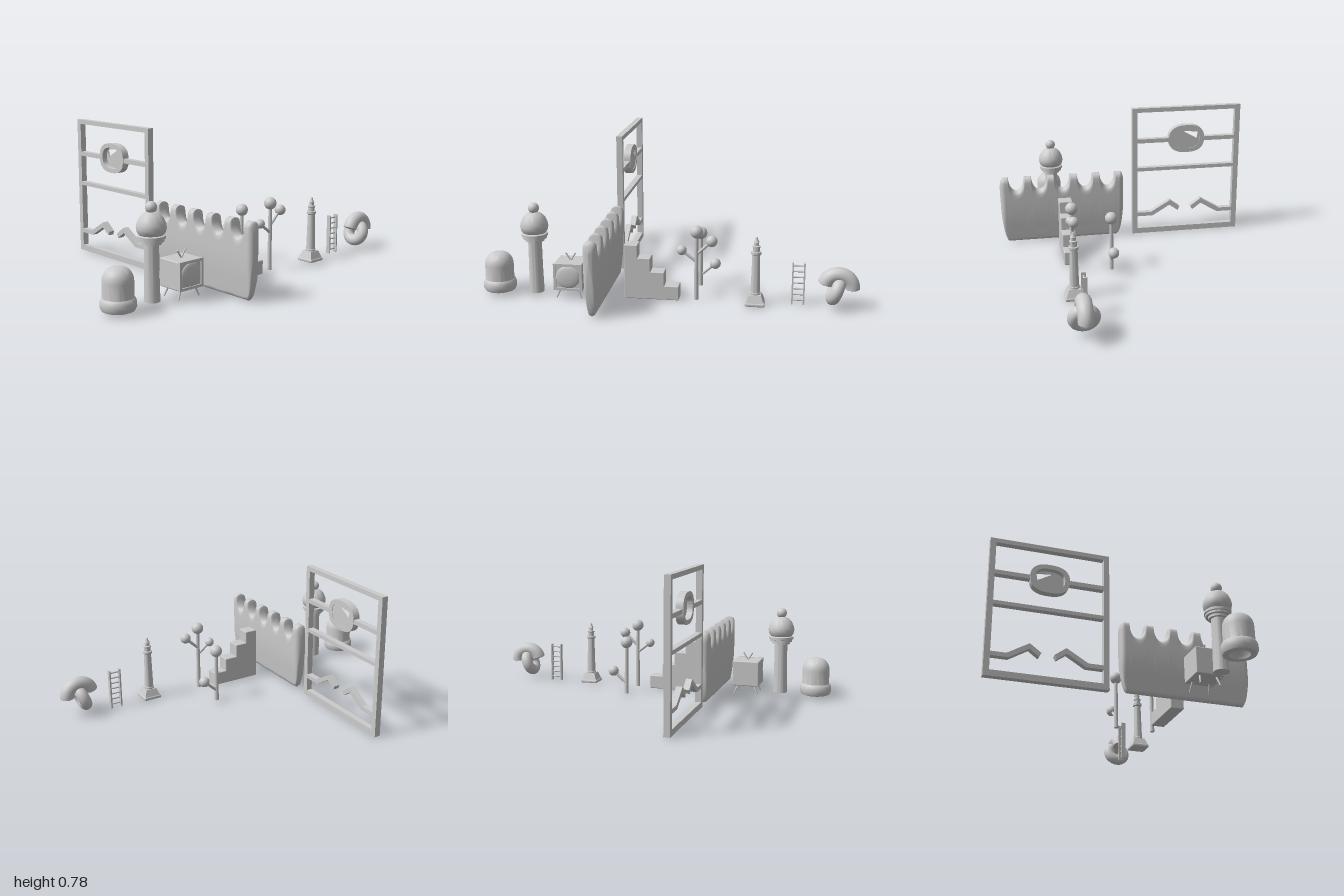
import * as THREE from 'three';
import { toCreasedNormals } from 'three/addons/utils/BufferGeometryUtils.js';
import { RoundedBoxGeometry } from 'three/addons/geometries/RoundedBoxGeometry.js';

const grey = new THREE.MeshStandardMaterial({ color: 0xcccccc, side: THREE.DoubleSide });
const V = (x, y, z) => new THREE.Vector3(x, y, z);

function add(parent, name, geo, x = 0, y = 0, z = 0) {
  const m = new THREE.Mesh(geo, grey);
  m.name = name;
  m.position.set(x, y, z);
  parent.add(m);
  return m;
}
function group(parent, name, x = 0, y = 0, z = 0) {
  const g = new THREE.Group();
  g.name = name;
  g.position.set(x, y, z);
  parent.add(g);
  return g;
}
const box = (p, name, x0, x1, y0, y1, d, z = 0) =>
  add(p, name, new THREE.BoxGeometry(x1 - x0, y1 - y0, d), (x0 + x1) / 2, (y0 + y1) / 2, z);
const ball = (p, name, r, x, y, z) => add(p, name, new THREE.SphereGeometry(r, 24, 16), x, y, z);
const lathe = (p, name, pts) => add(p, name,
  toCreasedNormals(new THREE.LatheGeometry(pts.map(a => new THREE.Vector2(...a)), 40), 0.6));

// straight round rod between two points
function rod(p, name, a, b, r0, r1 = r0) {
  const d = b.clone().sub(a);
  const m = add(p, name, new THREE.CylinderGeometry(r1, r0, d.length(), 12));
  m.position.copy(a).lerp(b, 0.5);
  m.quaternion.setFromUnitVectors(V(0, 1, 0), d.normalize());
  return m;
}
function plate(p, name, shape, depth, z = 0) {
  const geo = new THREE.ExtrudeGeometry(shape, { depth, bevelEnabled: false });
  return add(p, name, toCreasedNormals(geo, 0.5), 0, 0, z - depth / 2);
}
const shapeOf = pts => new THREE.Shape(pts.map(a => new THREE.Vector2(...a)));

// rounded oval outline
function oval(cx, cy, a, b) {
  const pts = [];
  for (let i = 0; i < 48; i++) {
    const t = i / 48 * Math.PI * 2, c = Math.cos(t), s = Math.sin(t);
    pts.push([cx + a * Math.sign(c) * Math.abs(c) ** 0.8, cy + b * Math.sign(s) * Math.abs(s) ** 0.8]);
  }
  return pts;
}

function openFrame(root) {
  const g = group(root, 'openFrame', 0, 0, 0.336), d = 0.034;
  box(g, 'leftPost', -0.1, -0.07, 0.003, 0.784, d);
  box(g, 'rightPost', -0.719, -0.688, 0.003, 0.784, d);
  box(g, 'topRail', -0.688, -0.1, 0.759, 0.784, d);
  box(g, 'bottomRail', -0.688, -0.1, 0.003, 0.036, d);
  box(g, 'middleRail', -0.688, -0.1, 0.399, 0.42, d);
  box(g, 'upperRailRight', -0.688, -0.49, 0.573, 0.597, d);
  box(g, 'upperRailLeft', -0.3, -0.1, 0.573, 0.597, d);
  const ring = shapeOf(oval(-0.395, 0.589, 0.107, 0.083));
  ring.holes.push(shapeOf(oval(-0.395, 0.589, 0.081, 0.059)));
  plate(g, 'ovalRing', ring, 0.04);
  // skewed opening at the back of the ring
  const inner = shapeOf(oval(-0.395, 0.589, 0.082, 0.06));
  inner.holes.push(shapeOf([[-0.463, 0.628], [-0.321, 0.643], [-0.31, 0.563], [-0.448, 0.532]]));
  plate(g, 'ringInset', inner, 0.006, -0.014);
  // mirrored bent bars
  const bent = [[-0.69, 0.136], [-0.606, 0.136], [-0.49, 0.205], [-0.429, 0.16],
    [-0.44, 0.137], [-0.492, 0.175], [-0.595, 0.113], [-0.69, 0.113]];
  plate(g, 'bentBarRight', shapeOf(bent), d);
  plate(g, 'bentBarLeft', shapeOf(bent.map(([x, y]) => [-0.789 - x, y])), d);
}

// soft wall with scalloped battlements, lofted from upright loops along x
function castleWall(root) {
  const x0 = -0.016, x1 = 0.716, N = 240, pos = [], idx = [];
  const rows = [0, 0.02, 0.06, 0.15, 0.3, 0.5, 0.7, 0.85, 0.92, 0.96, 0.985, 1];
  const round = t => Math.sqrt(1 - (1 - Math.min(1, Math.max(0, t))) ** 2);
  const K = rows.length * 2 - 2;
  for (let i = 0; i <= N; i++) {
    const x = x0 + (x1 - x0) * i / N, e = Math.min(x - x0, x1 - x);
    const lo = 0.004 + 0.3 * (1 - round(e / 0.045));
    let hi = 0.404 - 0.05 * (1 - Math.min(1, e / 0.025)) ** 3;
    for (let k = 0; k < 5; k++) {
      const t = Math.abs(x - 0.082 - 0.1345 * k) / 0.046;
      if (t < 1) hi -= 0.083 * Math.sqrt(1 - t * t);
    }
    for (let j = 0; j < K; j++) {
      const front = j < rows.length, s = rows[front ? j : K - j], y = lo + (hi - lo) * s;
      const w = 0.034 * (0.5 + 0.5 * THREE.MathUtils.smoothstep(y, 0, 0.2))
        * round((hi - y) / 0.03) * round((y - lo) / 0.015) * round(e / 0.03);
      pos.push(x, y, front ? w : -w);
      if (i < N) {
        const a = i * K + j, d = i * K + (j + 1) % K;
        idx.push(a, a + K, d + K, a, d + K, d);
      }
    }
  }
  const geo = new THREE.BufferGeometry();
  geo.setAttribute('position', new THREE.Float32BufferAttribute(pos, 3));
  geo.setIndex(idx);
  geo.computeVertexNormals();
  add(root, 'castleWall', geo, 0, 0, 0.337);
}

function bell(root) {
  const g = group(root, 'domedBell', 0.382, 0, 0.912);
  const pts = [[0, 0.06], [0.025, 0.055], [0.045, 0.035], [0.05, 0.018], [0.065, 0.013], [0.08, 0.019],
    [0.088, 0.035], [0.088, 0.058], [0.083, 0.073], [0.076, 0.08], [0.076, 0.158]];
  for (let i = 1; i <= 8; i++) {
    const t = i / 8 * Math.PI / 2;
    pts.push([0.076 * Math.cos(t) ** 0.8, 0.158 + 0.07 * Math.sin(t)]);
  }
  lathe(g, 'bellBody', pts);
}

function tower(root) {
  const g = group(root, 'domedTower', 0.382, 0, 0.708);
  lathe(g, 'shaft', [[0, 0.015], [0.04, 0.015], [0.037, 0.15], [0.036, 0.3], [0.05, 0.3], [0.05, 0.313],
    [0.063, 0.314], [0.063, 0.326], [0.069, 0.328], [0.069, 0.342], [0.06, 0.346]]);
  lathe(g, 'dome', [[0.058, 0.345], [0.069, 0.358], [0.074, 0.38], [0.071, 0.4], [0.06, 0.425],
    [0.044, 0.444], [0.022, 0.456], [0, 0.46]]);
  ball(g, 'finial', 0.029, 0, 0.478, 0);
}

function television(root) {
  const g = group(root, 'television', 0.379, 0, 0.517);
  add(g, 'cabinet', new RoundedBoxGeometry(0.146, 0.146, 0.154, 2, 0.006), -0.003, 0.124, 0);
  for (const s of [-1, 1]) {
    // raised screen surround
    box(g, 'surroundSide', 0.066, 0.077, 0.051, 0.198, 0.014, s * 0.07);
    box(g, 'surroundEdge', 0.066, 0.077, s > 0 ? 0.184 : 0.051, s > 0 ? 0.198 : 0.065, 0.154);
    rod(g, 'antenna', V(0, 0.195, 0), V(0, 0.236, s * 0.026), 0.004);
    for (const x of [-0.045, 0.045]) rod(g, 'leg', V(x, 0.055, s * 0.045), V(x * 1.2, 0.002, s * 0.068), 0.006, 0.004);
  }
  add(g, 'screen', new THREE.SphereGeometry(1, 24, 16), 0.068, 0.124, 0).scale.set(0.014, 0.062, 0.066);
}

function stairs(root) {
  const g = group(root, 'stairs', 0.349, 0, 0);
  const z = [0.228, 0.155, 0.087, 0.013, -0.064], y = [0.297, 0.227, 0.153, 0.078];
  y.forEach((h, i) => add(g, 'step', new RoundedBoxGeometry(0.076, h, z[0] - z[i + 1], 2, 0.005),
    0, h / 2, (z[0] + z[i + 1]) / 2));
}

function tree(root, x, top, branches) {
  const g = group(root, 'ballTree', x, 0, -0.153);
  rod(g, 'trunk', V(0, 0, 0), V(0, top, 0), 0.012, 0.01);
  ball(g, 'topBall', 0.034, 0, top, 0);
  for (const [y0, y, z, r] of branches) {
    rod(g, 'branch', V(0, y0, 0), V(0, y, z), 0.008);
    ball(g, 'branchBall', r, 0, y, z);
  }
}

function lighthouse(root) {
  const g = group(root, 'lighthouse', 0.379, 0, -0.466);
  add(g, 'baseSlab', new RoundedBoxGeometry(0.102, 0.018, 0.102, 2, 0.006), 0, 0.01, 0);
  const base = new THREE.CylinderGeometry(0.044, 0.066, 0.042, 4).toNonIndexed();
  base.computeVertexNormals();
  add(g, 'taperedBase', base, 0, 0.038, 0).rotation.y = Math.PI / 4;
  lathe(g, 'lightTower', [[0.028, 0.055], [0.028, 0.068], [0.025, 0.07], [0.02, 0.27], [0.026, 0.275],
    [0.026, 0.288], [0.018, 0.29], [0.018, 0.31], [0.021, 0.312], [0.021, 0.32], [0.013, 0.322],
    [0.013, 0.338], [0.016, 0.34], [0.008, 0.354], [0.006, 0.366], [0, 0.368]]);
}

function ladder(root) {
  const g = group(root, 'ladder', 0.354, 0, -0.687);
  for (const s of [-1, 1]) box(g, 'rail', -0.012, 0.012, 0.003, 0.23, 0.008, s * 0.03);
  for (let i = 0; i < 7; i++) rod(g, 'rung', V(0, 0.025 + i * 0.0315, -0.03), V(0, 0.025 + i * 0.0315, 0.03), 0.0045);
}

// thick arch hooked through a leaning ring
function links(root) {
  const g = group(root, 'hookedRings', 0.382, 0, 0);
  const arc = Math.PI * 0.9, R = 0.071, r = 0.039;
  const arch = group(g, 'arch', 0, 0.114, -0.89);
  arch.rotation.y = Math.PI / 2;
  add(arch, 'archTube', new THREE.TorusGeometry(R, r, 20, 36, arc));
  for (const t of [0, arc]) {
    const end = ball(arch, 'archEnd', r, R * Math.cos(t), R * Math.sin(t), 0);
    end.rotation.z = t;
    end.scale.y = 0.2;
  }
  add(g, 'leaningRing', new THREE.TorusGeometry(0.048, 0.033, 20, 40), 0, 0.1, -0.878).rotation.x = -0.37;
}

export function createModel() {
  const root = new THREE.Group();
  root.name = 'playsetPieces';
  openFrame(root);
  castleWall(root);
  bell(root);
  tower(root);
  television(root);
  stairs(root);
  tree(root, 0.351, 0.373, [[0.21, 0.27, 0.078, 0.026], [0.25, 0.325, -0.08, 0.03]]);
  tree(root, 0.135, 0.303, [[0.06, 0.13, -0.08, 0.03]]);
  lighthouse(root);
  ladder(root);
  links(root);
  return root;
}
